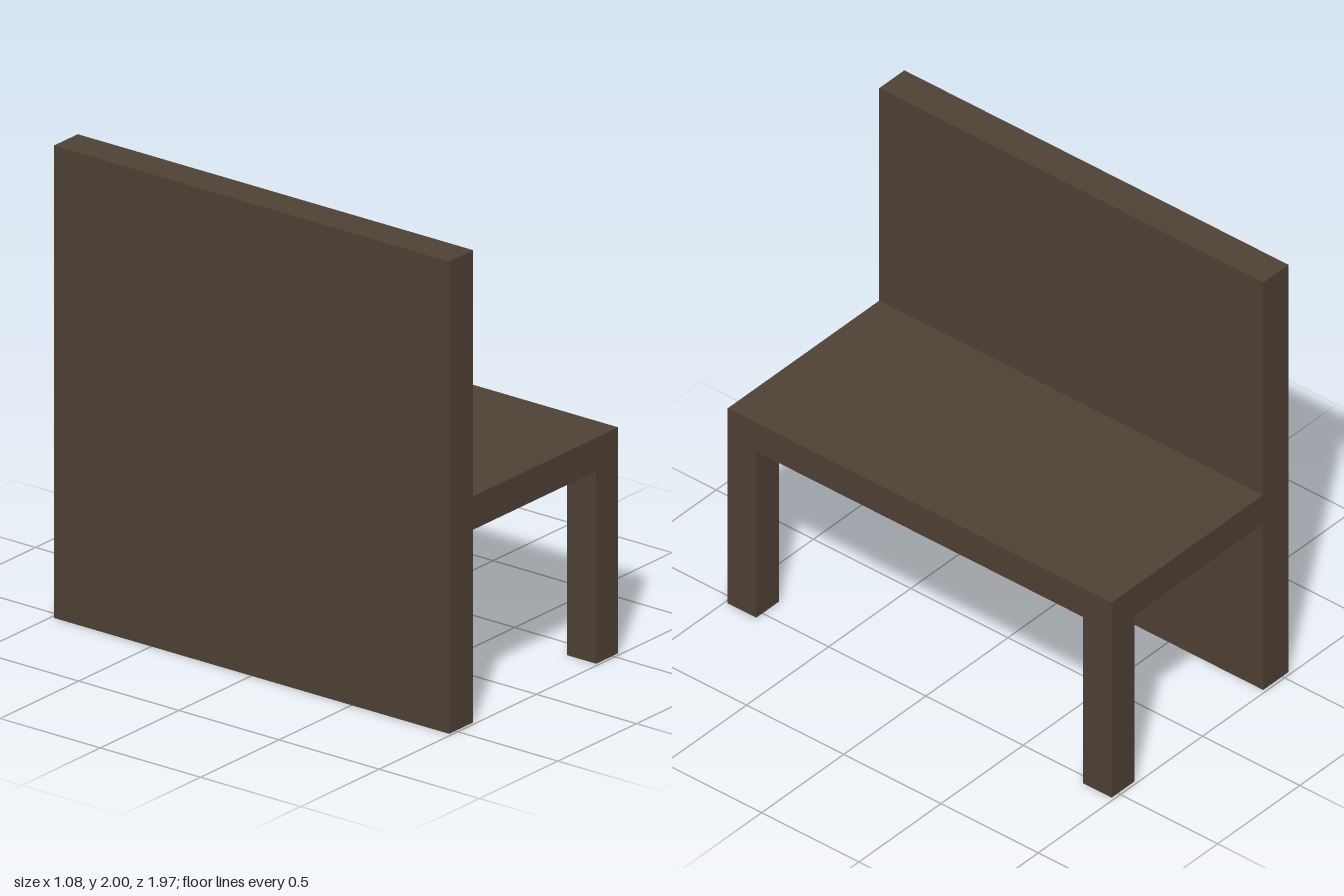
import * as THREE from 'three';

export function createModel() {
  const model = new THREE.Group();
  model.name = 'bench';
  const wood = new THREE.MeshStandardMaterial({ color: 0x4f4135 });
  wood.name = 'dark wood';

  // Box given by its minimum and maximum corners
  function addBox(name, [x0, y0, z0], [x1, y1, z1]) {
    const mesh = new THREE.Mesh(new THREE.BoxGeometry(x1 - x0, y1 - y0, z1 - z0), wood);
    mesh.name = name;
    mesh.position.set((x0 + x1) / 2, (y0 + y1) / 2, (z0 + z1) / 2);
    model.add(mesh);
  }

  const halfX = 0.538, halfZ = 0.987, innerZ = 0.84;
  const panelX = -0.385, legX = 0.398;
  const railY = 0.816, seatY = 0.957;

  // Solid back panel reaching the floor
  addBox('backPanel', [-halfX, 0, -halfZ], [panelX, 2, halfZ]);

  // Thin seat board between the rails, open underneath
  addBox('seatBoard', [panelX, seatY - 0.005, -innerZ], [legX, seatY, innerZ]);
  addBox('frontRail', [legX, railY, -innerZ], [halfX, seatY, innerZ]);

  // Side rail and front leg at each end
  for (const [side, z0, z1] of [['left', -halfZ, -innerZ], ['right', innerZ, halfZ]]) {
    addBox(side + 'SideRail', [panelX, railY, z0], [legX, seatY, z1]);
    addBox(side + 'FrontLeg', [legX, 0, z0], [halfX, seatY, z1]);
  }
  return model;
}
